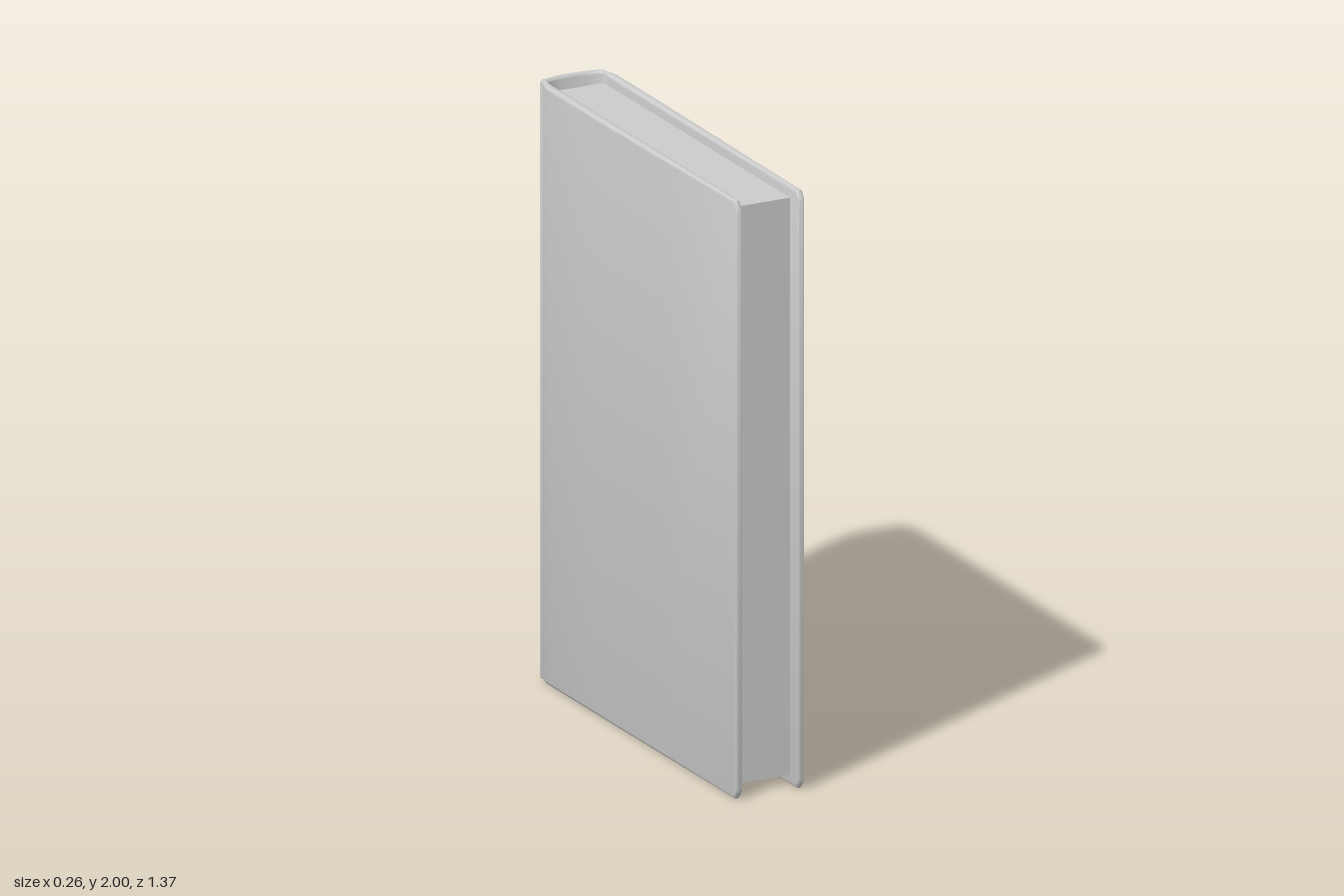
import * as THREE from 'three';
import { toCreasedNormals } from 'three/addons/utils/BufferGeometryUtils.js';

// Half of the cover, from fore edge to spine middle:
// [outer x, outer z, inner x, inner z, half height]
const HALF = [
  [0.119, 0.685, 0.103, 0.685, 0.970],
  [0.122, 0.680, 0.100, 0.680, 0.980],
  [0.123, 0.665, 0.100, 0.665, 1.0],
  [0.126, 0.200, 0.100, 0.200, 1.0],
  [0.130, -0.300, 0.100, -0.300, 1.0],
  [0.130, -0.600, 0.100, -0.600, 1.0],
  [0.124, -0.624, 0.100, -0.616, 1.0],
  [0.115, -0.648, 0.099, -0.632, 1.0],
  [0.118, -0.661, 0.098, -0.646, 1.0],
  [0.108, -0.672, 0.092, -0.652, 1.0],
  [0.060, -0.683, 0.052, -0.661, 1.0],
  [0.030, -0.686, 0.026, -0.664, 1.0],
  [0.000, -0.687, 0.000, -0.665, 1.0],
];

// Rounded rectangle as [u, y]: u runs 0 (outer) to 1 (inner), y up
function section(halfHeight, thickness) {
  const r = 0.42, steps = 3, points = [];
  const corners = [[0, -1, Math.PI], [0, 1, Math.PI / 2], [1, 1, 0], [1, -1, -Math.PI / 2]];
  for (const [side, sign, start] of corners) {
    for (let s = 0; s <= steps; s++) {
      // The loop climbs the outer face, crosses the top and descends inside
      const a = start + Math.PI / 2 - (s / steps + 0) * (Math.PI / 2);
      const angle = a + Math.PI / 2 - Math.PI / 2 * 1;
      const cu = side ? 1 - r : r;
      const cy = sign * (halfHeight - r * thickness);
      points.push([cu + r * Math.cos(angle), cy + r * thickness * Math.sin(angle)]);
    }
  }
  return points;
}

// Sweep the section round the U of board, joint, spine, joint, board
function coverGeometry() {
  const mirrored = HALF.slice(0, -1).reverse().map(([ox, oz, ix, iz, h]) => [-ox, oz, -ix, iz, h]);
  const stations = [...HALF, ...mirrored];
  const positions = [], index = [];
  let n = 0;
  for (const [ox, oz, ix, iz, h] of stations) {
    const loop = section(h, Math.hypot(ox - ix, oz - iz));
    n = loop.length;
    for (const [u, y] of loop) positions.push(ox + (ix - ox) * u, 1 + y, oz + (iz - oz) * u);
  }
  for (let i = 0; i < stations.length - 1; i++) {
    for (let k = 0; k < n; k++) {
      const a = i * n + k, b = i * n + (k + 1) % n;
      index.push(a, a + n, b + n, a, b + n, b);
    }
  }
  // Close both fore edges
  const last = (stations.length - 1) * n;
  for (let k = 1; k < n - 1; k++) {
    index.push(0, k, k + 1);
    index.push(last, last + k + 1, last + k);
  }
  const geometry = new THREE.BufferGeometry();
  geometry.setAttribute('position', new THREE.Float32BufferAttribute(positions, 3));
  geometry.setIndex(index);
  return toCreasedNormals(geometry, 0.7);
}

export function createModel() {
  const material = new THREE.MeshStandardMaterial({ color: 0xcccccc });
  const book = new THREE.Group();
  book.name = 'book';

  // Hard cover with rounded spine
  const cover = new THREE.Mesh(coverGeometry(), material);
  cover.name = 'cover';
  book.add(cover);

  // Page block, set back from the cover edges
  const pages = new THREE.Mesh(new THREE.BoxGeometry(0.202, 1.93, 1.265), material);
  pages.name = 'pages';
  pages.position.set(0, 0.998, -0.0075);
  book.add(pages);

  return book;
}
